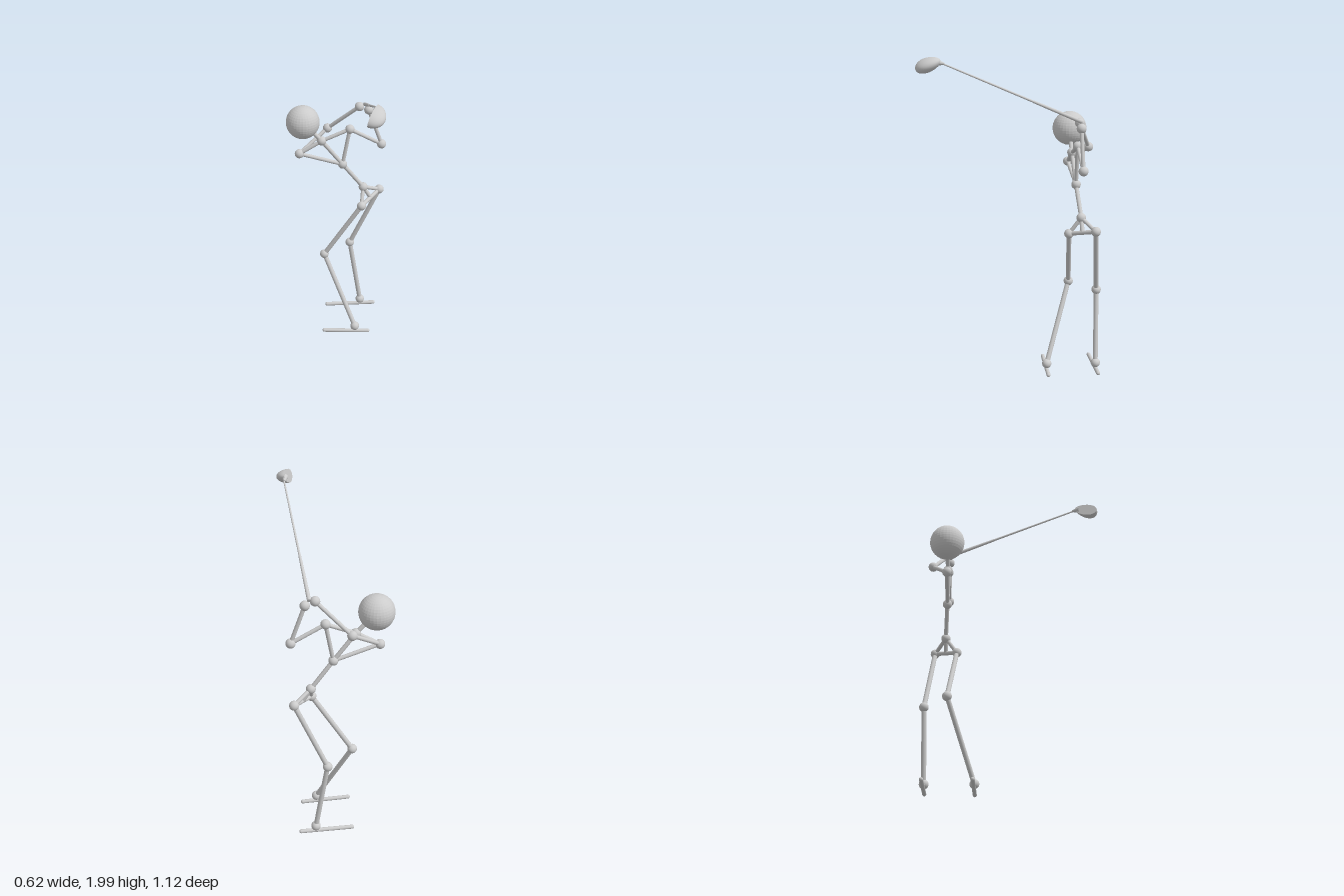
import * as THREE from 'three';

const material = new THREE.MeshStandardMaterial({ color: 0xcccccc });
const faceted = new THREE.MeshStandardMaterial({ color: 0xcccccc, flatShading: true });
const V = (p) => new THREE.Vector3(...p);
const UP = new THREE.Vector3(0, 1, 0);

// Joint positions of the posed figure
const J = {
  head: [-0.21, 1.485, -0.4],
  neck: [-0.094, 1.355, -0.396],
  waist: [0.037, 1.186, -0.4],
  pelvis: [0.17, 1.013, -0.41],
  hipCentre: [0.218, 0.934, -0.41],
  leadShoulder: [-0.235, 1.268, -0.396],
  trailShoulder: [0.082, 1.432, -0.398],
  leadElbow: [-0.054, 1.398, -0.49],
  trailElbow: [0.281, 1.326, -0.397],
  leadHand: [0.14, 1.586, -0.397],
  trailHand: [0.198, 1.563, -0.397],
  leadHip: [0.156, 0.912, -0.339],
  trailHip: [0.279, 0.955, -0.479],
  leadKnee: [-0.083, 0.527, -0.383],
  trailKnee: [0.092, 0.524, -0.527],
  leadAnkle: [0.112, 0.054, -0.218],
  trailAnkle: [0.163, 0.066, -0.517],
};

// Places a y-aligned geometry along the line from a to b
function along(name, geometry, a, b) {
  const mesh = new THREE.Mesh(geometry, material);
  const dir = V(b).sub(V(a));
  mesh.position.copy(V(a)).addScaledVector(dir, 0.5);
  mesh.quaternion.setFromUnitVectors(UP, dir.normalize());
  mesh.name = name;
  return mesh;
}

function rod(name, a, b, r0, r1 = r0) {
  return along(name, new THREE.CylinderGeometry(r1, r0, V(a).distanceTo(V(b)), 20), a, b);
}

function ball(name, p, r, mat = material) {
  const mesh = new THREE.Mesh(new THREE.SphereGeometry(r, 32, 20), mat);
  mesh.position.set(...p);
  mesh.name = name;
  return mesh;
}

// Club head: half an ellipsoid closed by a flat striking face
function clubHead() {
  const toe = V([-0.42, -0.35, 0.84]).normalize();
  const back = V([0.9, -0.19, 0.38]);
  back.addScaledVector(toe, -back.dot(toe)).normalize();
  const crown = toe.clone().cross(back);
  const basis = new THREE.Matrix4().makeBasis(crown, toe, back).setPosition(0.157, 1.95, 0.488);
  const group = new THREE.Group();
  group.name = 'clubHead';
  const shell = new THREE.SphereGeometry(1, 24, 20, 0, Math.PI);
  const face = new THREE.CircleGeometry(1, 40).rotateY(Math.PI);
  for (const [name, geometry] of [['clubBody', shell], ['clubFace', face]]) {
    const p = geometry.attributes.position;
    for (let i = 0; i < p.count; i++) {
      const t = p.getY(i);
      const width = 0.92 + 0.12 * t; // narrower towards the heel
      p.setXYZ(i, p.getX(i) * 0.045 * width, t * 0.08, p.getZ(i) * 0.08 * width);
    }
    geometry.computeVertexNormals();
    geometry.applyMatrix4(basis);
    const mesh = new THREE.Mesh(geometry, material);
    mesh.name = name;
    group.add(mesh);
  }
  return group;
}

export function createModel() {
  const model = new THREE.Group();
  model.name = 'golferFigure';

  // Head and joints
  model.add(ball('head', J.head, 0.105, faceted));
  for (const [name, p] of Object.entries(J)) {
    if (name !== 'head' && name !== 'hipCentre') model.add(ball(name + 'Joint', p, 0.029));
  }

  // Torso and pelvis bones
  const torso = [
    ['neckBone', 'neck', 'head'],
    ['upperSpine', 'waist', 'neck'],
    ['lowerSpine', 'pelvis', 'waist'],
    ['tailBone', 'pelvis', 'hipCentre'],
    ['hipBar', 'leadHip', 'trailHip'],
  ];
  for (const [name, a, b] of torso) model.add(rod(name, J[a], J[b], 0.013));

  // Bones shared by both sides
  for (const side of ['lead', 'trail']) {
    const at = (part) => J[side + part];
    model.add(
      rod(side + 'Collar', J.neck, at('Shoulder'), 0.012),
      rod(side + 'Rib', J.waist, at('Shoulder'), 0.012),
      rod(side + 'UpperArm', at('Shoulder'), at('Elbow'), 0.012),
      rod(side + 'Forearm', at('Elbow'), at('Hand'), 0.012),
      rod(side + 'PelvisBone', J.pelvis, at('Hip'), 0.012),
      rod(side + 'Thigh', at('Hip'), at('Knee'), 0.015),
      rod(side + 'Shin', at('Knee'), at('Ankle'), 0.015),
    );
  }

  // Feet
  const feet = [
    ['leadFoot', [-0.091, 0.02, -0.225], [0.199, 0.0135, -0.216]],
    ['trailFoot', [-0.063, 0.026, -0.519], [0.255, 0.034, -0.517]],
  ];
  for (const [name, a, b] of feet) {
    model.add(along(name, new THREE.CapsuleGeometry(0.0125, V(a).distanceTo(V(b)), 6, 20), a, b));
  }

  // Club: grip, tapering shaft and head
  const butt = [0.174, 1.597, -0.405];
  const heel = [0.194, 1.963, 0.42];
  const gripEnd = V(butt).lerp(V(heel), 0.35).toArray();
  model.add(
    rod('clubGrip', butt, gripEnd, 0.012, 0.008),
    rod('clubShaft', gripEnd, heel, 0.007, 0.005),
    rod('clubHosel', [0.193, 1.958, 0.4], [0.183, 1.963, 0.445], 0.006, 0.02),
    clubHead(),
  );
  return model;
}
